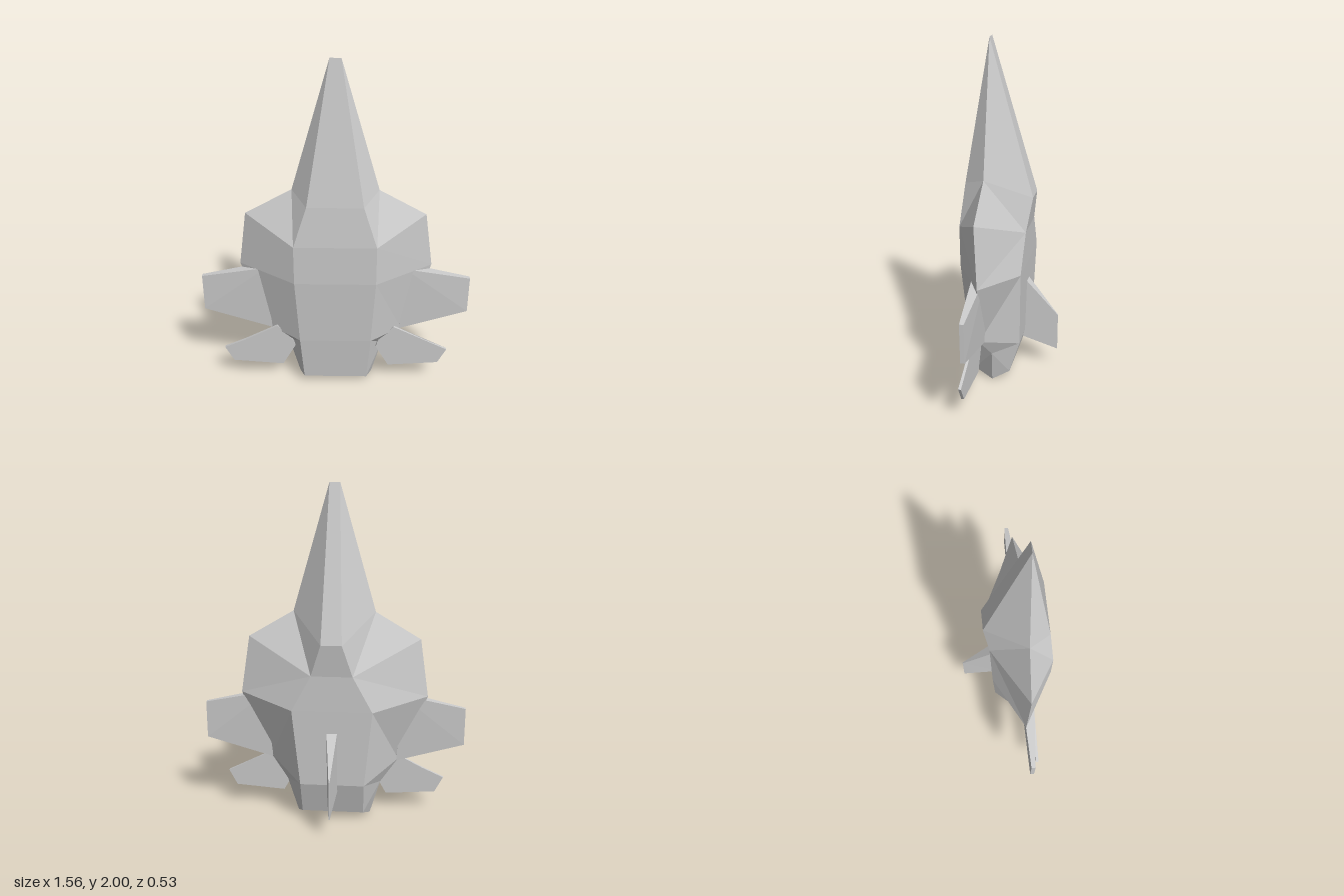
import * as THREE from 'three';

const material = new THREE.MeshStandardMaterial({ color: 0xcccccc, flatShading: true });

// Faceted solid through matching rings; rings run counter-clockwise seen from the first end.
function loft(rings) {
  const pos = [];
  const R = rings.map(r => r.map(p => new THREE.Vector3(...p)));
  const tri = (a, b, c) => {
    const area = b.clone().sub(a).cross(c.clone().sub(a)).length();
    if (area > 1e-7) for (const p of [a, b, c]) pos.push(p.x, p.y, p.z);
  };
  const n = R[0].length;
  for (let k = 0; k < R.length - 1; k++) {
    for (let i = 0; i < n; i++) {
      const j = (i + 1) % n;
      const a = R[k][i], b = R[k][j], c = R[k + 1][j], d = R[k + 1][i];
      // split each quad along its shorter diagonal
      if (a.distanceTo(c) < b.distanceTo(d)) { tri(a, d, c); tri(a, c, b); }
      else { tri(a, d, b); tri(b, d, c); }
    }
  }
  const first = R[0], last = R[R.length - 1];
  for (let i = 1; i < n - 1; i++) {
    tri(first[0], first[i], first[i + 1]);
    tri(last[0], last[i + 1], last[i]);
  }
  const g = new THREE.BufferGeometry();
  g.setAttribute('position', new THREE.Float32BufferAttribute(pos, 3));
  g.computeVertexNormals();
  return g;
}

// Mirror a ring across x, keeping its winding
const mirror = ring => ring.map(([x, y, z]) => [-x, y, z]).reverse();

// Six-sided ring from its side, back and front corner on the +x half
function hexRing([side, back, front]) {
  const m = ([x, y, z]) => [-x, y, z];
  return [side, back, m(back), m(side), m(front), front];
}

export function createModel() {
  const model = new THREE.Group();
  const add = (name, geometry) => {
    const mesh = new THREE.Mesh(geometry, material);
    mesh.name = name;
    model.add(mesh);
  };

  // Hull stations from nose to tail: side, back and front corner
  const ledgeBack = [0.19, 0.25, -0.07], ledgeFront = [0.208, 0.335, 0.235];
  const stations = [
    [[0.03, 2, 0.13], [0.03, 2, 0.13], [0.03, 2, 0.13]],
    [[0.24, 1.27, 0.12], [0.06, 1.125, -0.118], [0.155, 1.22, 0.245]],
    [[0.505, 1.115, 0.105], [0.12, 0.935, -0.09], [0.23, 0.985, 0.265]],
    [[0.555, 0.775, 0.08], [0.235, 0.72, -0.085], [0.23, 0.75, 0.265]],
    [[0.39, 0.355, 0.12], ledgeBack, ledgeFront],
    // step in to the engine block
    [[0.285, 0.22, 0.075], ledgeBack, ledgeFront],
    [[0.222, 0, 0.09], [0.185, 0.045, -0.007], [0.188, 0.045, 0.205]],
  ];
  add('hull', loft(stations.map(hexRing)));

  // Main wings, tip to root
  const wing = [
    [[0.78, 0.7, 0.112], [0.78, 0.472, 0.112], [0.78, 0.472, 0.088], [0.78, 0.7, 0.088]],
    [[0.4, 0.78, 0.145], [0.38, 0.355, 0.13], [0.38, 0.355, 0.09], [0.4, 0.78, 0.075]],
  ];
  add('leftWing', loft(wing));
  add('rightWing', loft(wing.map(mirror)));

  // Thin rear fins
  const outline = [[0.345, 0.388], [0.255, 0.285], [0.243, 0.243], [0.32, 0.105],
    [0.62, 0.128], [0.67, 0.225], [0.54, 0.285]];
  const fin = [0.164, 0.148].map(z => outline.map(([x, y]) => [x, y, z]));
  add('leftFin', loft(fin));
  add('rightFin', loft(fin.map(mirror)));

  // Dorsal fin, tip to root
  const tail = [[0.003, 0.36, 0.125, -0.265, -0.265], [0.035, 0.62, 0.215, -0.05, -0.03]];
  add('dorsalFin', loft(tail.map(([w, top, low, zTop, zLow]) =>
    [[w, top, zTop], [w, low, zLow], [-w, low, zLow], [-w, top, zTop]])));

  return model;
}
